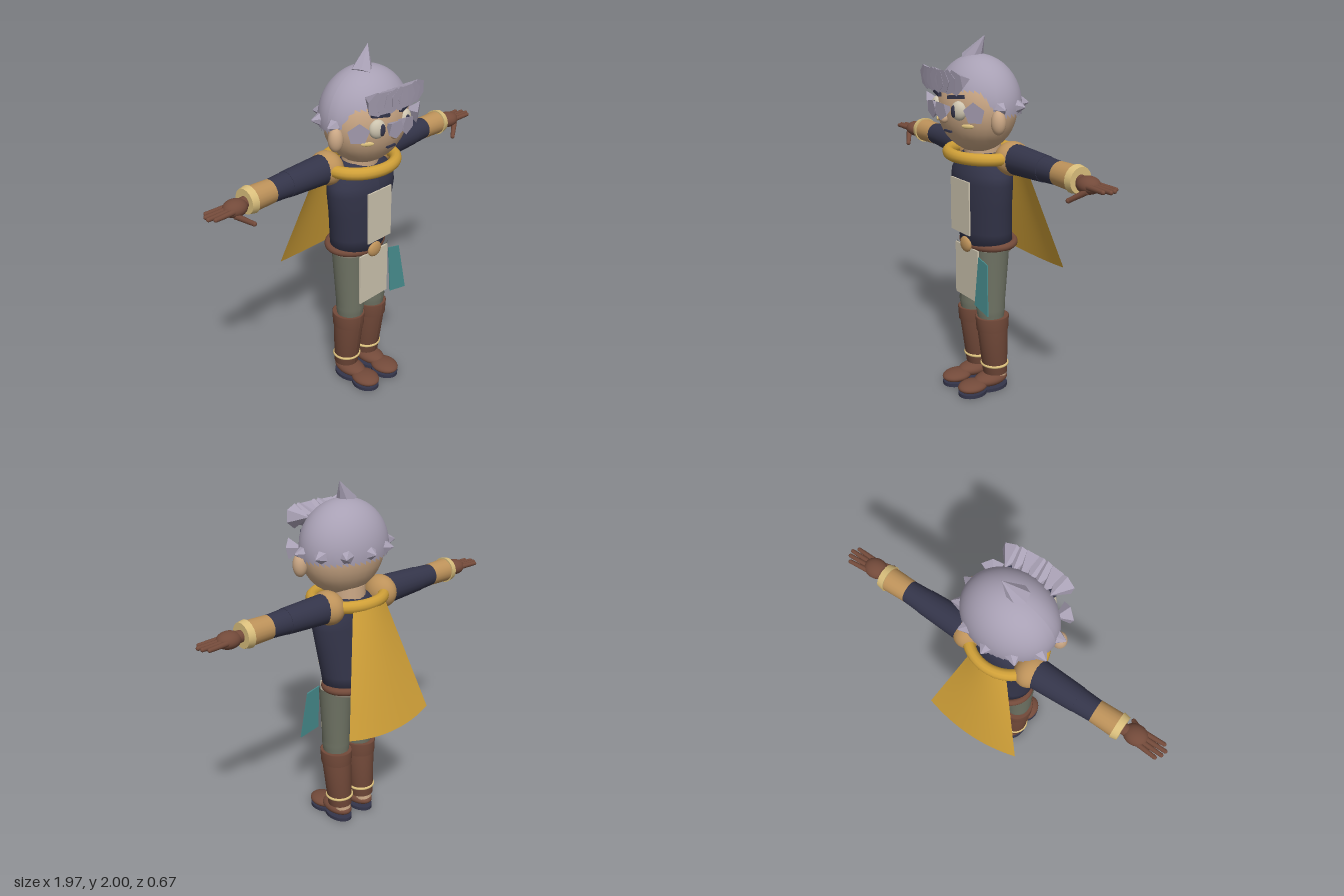
import * as THREE from 'three';

const mat = (name, color, side = THREE.FrontSide) => {
  const m = new THREE.MeshStandardMaterial({ color, side });
  m.name = name;
  return m;
};

export function createModel() {
  const root = new THREE.Group();
  root.name = 'caped figure';
  const hair = mat('lavender hair', 0xa8a0b4, THREE.DoubleSide);
  const skin = mat('skin', 0xc9a684);
  const navy = mat('navy cloth', 0x34354a);
  const gold = mat('gold cloth', 0xd0a038, THREE.DoubleSide);
  const tan = mat('tan leather', 0xbd925a);
  const pale = mat('pale gold trim', 0xd9be7c);
  const brown = mat('brown leather', 0x734a3a);
  const olive = mat('olive trousers', 0x6f7364);
  const beige = mat('beige cloth', 0xcdc4af);
  const teal = mat('teal cloth', 0x478c8d);
  const V = (x, y, z) => new THREE.Vector3(x, y, z);

  const add = (name, geo, material, x = 0, y = 0, z = 0) => {
    const m = new THREE.Mesh(geo, material);
    m.name = name;
    m.position.set(x, y, z);
    root.add(m);
    return m;
  };
  const ball = (name, material, p, r) =>
    add(name, new THREE.SphereGeometry(1, 28, 18).scale(...r), material, ...p);
  const box = (name, material, p, s) => add(name, new THREE.BoxGeometry(...s), material, ...p);
  // Elliptical horizontal ring
  const ring = (name, material, p, rx, rz, tube) => {
    const g = new THREE.TorusGeometry(1, tube / rx, 12, 48).rotateX(Math.PI / 2);
    return add(name, g.scale(rx, rx, rz), material, ...p);
  };
  // Stacked ellipses, each row: [y, rx, rz, cx, cz]
  const loft = (name, material, rows) => {
    const g = new THREE.LatheGeometry(rows.map((r, i) => new THREE.Vector2(1, i)), 32);
    const pos = g.attributes.position;
    for (let i = 0; i < pos.count; i++) {
      const [y, rx, rz, cx, cz] = rows[Math.round(pos.getY(i))];
      pos.setXYZ(i, cx + pos.getX(i) * rx, y, cz + pos.getZ(i) * rz);
    }
    g.computeVertexNormals();
    return add(name, g, material);
  };
  // Tapered rod between two points, faceted when it has few sides
  const rod = (name, material, a, b, ra, rb, sides = 20) => {
    const d = b.clone().sub(a);
    let g = new THREE.CylinderGeometry(rb, ra, d.length(), sides);
    if (sides < 10) {
      g = g.toNonIndexed();
      g.computeVertexNormals();
    }
    const m = add(name, g, material, ...a.clone().add(b).multiplyScalar(0.5).toArray());
    m.quaternion.setFromUnitVectors(V(0, 1, 0), d.normalize());
    return m;
  };

  // Head and face
  ball('head', skin, [0, 1.64, 0.075], [0.25, 0.25, 0.2]);
  rod('neck', skin, V(0, 1.3, 0.03), V(0, 1.44, 0.04), 0.1, 0.1);
  ball('nose', skin, [0, 1.585, 0.275], [0.022, 0.024, 0.022]);
  box('mouth', navy, [0, 1.517, 0.25], [0.06, 0.01, 0.02]);
  for (const s of [-1, 1]) {
    ball('ear', skin, [s * 0.258, 1.585, 0.115], [0.04, 0.064, 0.038]);
    ball('eye', beige, [s * 0.105, 1.637, 0.252], [0.045, 0.05, 0.03]).rotation.y = s * 0.35;
    ball('pupil', navy, [s * 0.094, 1.635, 0.277], [0.019, 0.032, 0.012]);
    const brow = box('eyebrow', navy, [s * 0.09, 1.706, 0.26], [0.1, 0.018, 0.02]);
    brow.rotation.set(0, s * 0.3, s * 0.1);
    ball('cheek', pale, [s * 0.145, 1.56, 0.226], [0.034, 0.012, 0.008]).rotation.y = s * 0.6;
  }

  // Hair cap, its rim high over the face and low behind
  const cap = new THREE.SphereGeometry(1, 48, 20);
  const cp = cap.attributes.position;
  for (let i = 0; i < cp.count; i++) {
    const a = Math.atan2(cp.getX(i), cp.getZ(i));
    const reach = THREE.MathUtils.lerp(1.75, 1.235, THREE.MathUtils.smoothstep(Math.cos(a), 0.2, 0.65));
    const t = Math.acos(THREE.MathUtils.clamp(cp.getY(i), -1, 1)) / Math.PI * reach;
    cp.setXYZ(i, Math.sin(a) * Math.sin(t), Math.cos(t), Math.cos(a) * Math.sin(t));
  }
  cap.scale(0.262, 0.258, 0.212);
  cap.computeVertexNormals();
  add('hair cap', cap, hair, 0, 1.645, 0.064);
  rod('top tuft', hair, V(-0.035, 1.87, 0.08), V(0.04, 2, 0.05), 0.062, 0, 7);

  // Short spikes around the back of the rim
  for (let i = 0; i < 7; i++) {
    const a = THREE.MathUtils.degToRad(-9 + 33 * i);
    const at = (k) => V(Math.cos(a) * 0.262 * k, 1.652, 0.064 - Math.sin(a) * 0.212 * k);
    rod('back spike', hair, at(0.95), at(1.16), 0.042, 0.004, 6);
  }
  // Fringe tufts widening away from the forehead
  for (let i = 0; i < 7; i++) {
    const x = -0.15 + i * 0.048;
    const tuft = rod('fringe tuft', hair, V(x * 0.9, 1.795, 0.2), V(x, 1.785, 0.315 - x * x * 0.8), 0.002, 0.066, 6);
    tuft.rotateY(i * 0.4);
  }
  // Locks at eye height
  for (const s of [-1, 1]) {
    rod('side lock', hair, V(s * 0.185, 1.645, 0.18), V(s * 0.225, 1.637, 0.24), 0.002, 0.06, 5);
    rod('middle lock', hair, V(s * 0.035, 1.645, 0.25), V(s * 0.043, 1.637, 0.325), 0.002, 0.052, 5);
  }

  // Torso, collar and belt
  loft('torso', navy, [
    [0.86, 0, 0, 0, 0.015], [0.86, 0.165, 0.132, 0, 0.015], [0.95, 0.178, 0.133, 0, 0.022],
    [1.1, 0.2, 0.134, 0, 0.036], [1.23, 0.222, 0.137, 0, 0.043], [1.28, 0.215, 0.135, 0, 0.042],
    [1.35, 0.175, 0.12, 0, 0.035], [1.39, 0.11, 0.09, 0, 0.03], [1.4, 0, 0, 0, 0.03]]);
  ring('collar', gold, [0, 1.378, 0.035], 0.205, 0.18, 0.034);
  box('chest panel', beige, [0, 1.098, 0.182], [0.178, 0.296, 0.009]);
  ring('belt', brown, [0, 0.875, 0], 0.168, 0.133, 0.021).rotation.x = 0.04;
  ball('buckle', tan, [0, 0.875, 0.148], [0.049, 0.045, 0.022]);
  loft('hips', beige, [[0.835, 0, 0, 0, 0.01], [0.835, 0.16, 0.125, 0, 0.01], [0.87, 0.165, 0.13, 0, 0.01]]);
  box('front apron', beige, [0, 0.71, 0.142], [0.22, 0.3, 0.009]);
  const flap = new THREE.Shape([[0.12, 0.01], [0.205, -0.01], [0.243, -0.29], [0.115, -0.265]]
    .map((p) => new THREE.Vector2(...p)));
  add('side flap', new THREE.ExtrudeGeometry(flap, { depth: 0.006, bevelEnabled: false }),
    teal, 0, 0.82, 0.143).rotation.x = -0.08;

  // Flaring, gently bowed cape
  const cape = new THREE.PlaneGeometry(2, 1, 16, 8);
  const kp = cape.attributes.position;
  for (let i = 0; i < kp.count; i++) {
    const u = kp.getX(i), t = 0.5 - kp.getY(i);
    kp.setXYZ(i, u * (0.11 + 0.185 * t), 1.39 - t * (0.69 - 0.03 * u * u),
      -0.165 - 0.175 * t + 0.036 * u * u);
  }
  cape.rotateY(0).computeVertexNormals();
  add('cape', cape, gold);

  for (const s of [-1, 1]) {
    // Arm, stretched sideways
    const P = (x, y = 1.372, z = -0.022) => V(s * x, y, z);
    ball('shoulder', tan, [s * 0.19, 1.37, -0.022], [0.082, 0.092, 0.1]);
    rod('upper arm', navy, P(0.19), P(0.475), 0.083, 0.069);
    rod('forearm', navy, P(0.47), P(0.59), 0.067, 0.06);
    rod('cuff', tan, P(0.58), P(0.715), 0.062, 0.066);
    rod('wrist band', pale, P(0.705), P(0.742), 0.073, 0.066);

    // Hand
    rod('wrist', brown, P(0.73), P(0.78, 1.366, -0.015), 0.03, 0.034);
    ball('palm', brown, [s * 0.808, 1.366, -0.012], [0.066, 0.044, 0.056]);
    for (let i = 0; i < 4; i++) {
      const z = -0.058 + i * 0.028, tip = [0.945, 0.966, 0.972, 0.95][i];
      rod('finger', brown, P(0.83, 1.368, z * 0.8), P(tip, 1.368, z), 0.015, 0.011, 12);
      ball('fingertip', brown, [s * tip, 1.368, z], [0.011, 0.011, 0.011]);
    }
    rod('thumb', brown, P(0.835, 1.345, 0.02), P(0.762, 1.292, 0.068), 0.016, 0.012, 12);
    ball('thumb tip', brown, [s * 0.762, 1.292, 0.068], [0.013, 0.013, 0.013]);

    // Leg
    loft('trouser leg', olive, [
      [0.42, 0.07, 0.072, s * 0.086, 0.042], [0.475, 0.076, 0.078, s * 0.086, 0.043],
      [0.505, 0.08, 0.082, s * 0.086, 0.044], [0.53, 0.078, 0.08, s * 0.086, 0.043],
      [0.86, 0.091, 0.097, s * 0.09, 0.038]]);

    // Boot
    loft('boot shaft', brown, [
      [0.1, 0, 0, s * 0.086, 0.012], [0.1, 0.07, 0.07, s * 0.086, 0.012],
      [0.38, 0.083, 0.087, s * 0.09, 0.034]]);
    loft('boot top', brown, [
      [0.378, 0.08, 0.085, s * 0.091, 0.034], [0.378, 0.086, 0.092, s * 0.091, 0.035],
      [0.455, 0.089, 0.097, s * 0.091, 0.036], [0.458, 0.085, 0.093, s * 0.091, 0.036],
      [0.45, 0, 0, s * 0.091, 0.036]]);
    ring('ankle band', pale, [s * 0.086, 0.155, 0.016], 0.074, 0.073, 0.008);
    rod('ankle', skin, V(s * 0.083, 0.06, -0.008), V(s * 0.085, 0.12, 0), 0.05, 0.05);
    ball('foot', brown, [s * 0.083, 0.06, 0.042], [0.066, 0.041, 0.108]);
    ball('toe cap', brown, [s * 0.083, 0.045, 0.165], [0.071, 0.033, 0.089]);
    for (const [z, rx, rz] of [[0.03, 0.064, 0.095], [0.165, 0.07, 0.086]]) {
      const sole = new THREE.CylinderGeometry(1, 1, 0.02, 28).scale(rx, 1, rz);
      add('sole', sole, navy, s * 0.083, 0.01, z);
    }
  }
  return root;
}
